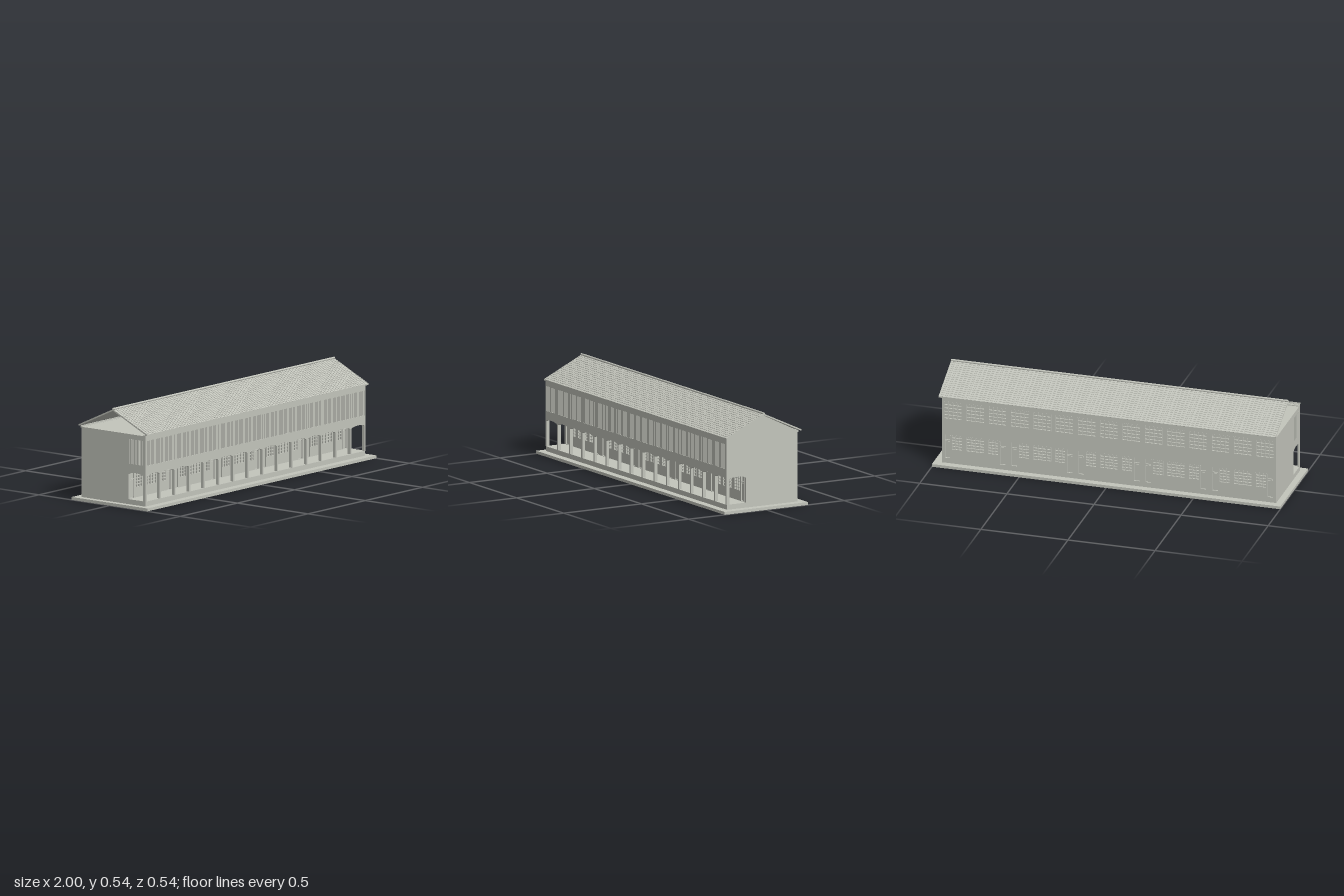
import * as THREE from 'three';
import { mergeGeometries } from 'three/addons/utils/BufferGeometryUtils.js';

const X0 = -0.965, X1 = 0.955, BAYS = 15, BAY = (X1 - X0) / BAYS, LEN = X1 - X0, CX = (X0 + X1) / 2;

export function createModel() {
  const group = new THREE.Group();
  const stone = new THREE.MeshStandardMaterial({ color: 0xc3c5bc });
  stone.name = 'warm grey';

  const add = (name, geo) => {
    const mesh = new THREE.Mesh(geo, stone);
    mesh.name = name;
    group.add(mesh);
    return mesh;
  };
  // box given by its lower and upper corners
  const box = (x0, y0, z0, x1, y1, z1) =>
    new THREE.BoxGeometry(x1 - x0, y1 - y0, z1 - z0).translate((x0 + x1) / 2, (y0 + y1) / 2, (z0 + z1) / 2);
  const polygon = pts => new THREE.Shape(pts.map(p => new THREE.Vector2(p[0], p[1])));
  const rect = (x0, y0, x1, y1) => polygon([[x0, y0], [x1, y0], [x1, y1], [x0, y1]]);
  const extrude = (shape, depth) =>
    new THREE.ExtrudeGeometry(shape, { depth, bevelEnabled: false, curveSegments: 8 });
  // shape drawn in (z, y), extruded towards -x from the given x
  const extrudeX = (shape, depth, x) => extrude(shape, depth).rotateY(-Math.PI / 2).translate(x, 0, 0);
  const arch = (a, b) => {
    const s = new THREE.Shape(), w = b - a;
    s.moveTo(a, 0.044);
    s.lineTo(b, 0.044);
    s.lineTo(b, 0.184);
    s.bezierCurveTo(b - w * 0.12, 0.199, a + w * 0.12, 0.199, a, 0.184);
    s.closePath();
    return s;
  };

  // ground slab, plinth and floors
  add('groundSlab', box(-1, 0, -0.268, 1, 0.016, 0.268));
  add('plinth', box(X0, 0.016, -0.228, X1, 0.044, 0.225));
  add('upperFloor', box(X0 + 0.005, 0.208, -0.22, X1 - 0.005, 0.22, 0.22));
  add('atticFloor', box(X0 + 0.002, 0.4, -0.225, X1 - 0.005, 0.409, 0.225));

  // front wall with arcade below and slatted openings above
  const front = rect(X0, 0.044, X1, 0.414);
  const slats = [], vaults = [];
  for (let i = 0; i < BAYS; i++) {
    const a = X0 + i * BAY + 0.0055, b = a + BAY - 0.011;
    front.holes.push(arch(a, b), rect(a, 0.243, b, 0.382));
    const n = 12, step = (b - a) / n;
    for (let k = 0; k < n; k++) {
      const x = a + (k + 0.5) * step;
      slats.push(box(x - 0.0032, 0.243, 0.213, x + 0.0032, 0.382, 0.226));
    }
    slats.push(box(a, 0.309, 0.213, b, 0.315, 0.217));
  }
  add('frontWall', extrude(front, 0.018).translate(0, 0, 0.21));
  add('frontSlats', mergeGeometries(slats));

  // cross arches between the piers of the arcade
  for (let i = 1; i < BAYS; i++) {
    const s = new THREE.Shape();
    s.moveTo(0.105, 0.184);
    s.bezierCurveTo(0.118, 0.199, 0.197, 0.199, 0.21, 0.184);
    s.lineTo(0.21, 0.209);
    s.lineTo(0.105, 0.209);
    vaults.push(extrudeX(s, 0.011, X0 + i * BAY + 0.0055));
  }
  add('crossArches', mergeGeometries(vaults));

  // long walls: barred windows, and doors paired at every third bay line
  // out is the direction the wall faces along z
  function windowWall(name, face, out, top, upper) {
    const wall = rect(X0, 0.044, X1, top);
    const bars = [], panes = [], doors = [];
    const slab = (list, x0, y0, x1, y1, d0, d1) => {
      const za = face - out * d0, zb = face - out * d1;
      list.push(box(x0, y0, Math.min(za, zb), x1, y1, Math.max(za, zb)));
    };
    const win = (x0, y0, x1, y1, cols) => {
      wall.holes.push(rect(x0, y0, x1, y1));
      slab(panes, x0, y0, x1, y1, 0.008, 0.012);
      const rows = 5;
      for (let c = 0; c <= cols; c++) {
        const x = x0 + (x1 - x0) * c / cols;
        slab(bars, x - 0.0016, y0, x + 0.0016, y1, -0.001, 0.009);
      }
      for (let r = 0; r <= rows; r++) {
        const y = y0 + (y1 - y0) * r / rows;
        slab(bars, x0, y - 0.0013, x1, y + 0.0013, -0.0008, 0.009);
      }
    };
    const door = (x0, x1) => {
      wall.holes.push(rect(x0, 0.046, x1, 0.185));
      slab(panes, x0, 0.046, x1, 0.185, 0.008, 0.012);
      slab(doors, x0 + 0.004, 0.05, x1 - 0.004, 0.145, 0.004, 0.009);
      slab(doors, x0, 0.15, x1, 0.155, 0.001, 0.009);
      slab(doors, x0, 0.046, x0 + 0.003, 0.185, -0.001, 0.009);
      slab(doors, x1 - 0.003, 0.046, x1, 0.185, -0.001, 0.009);
    };
    for (let i = 0; i < BAYS; i++) {
      const a = X0 + i * BAY, b = a + BAY;
      if (upper) win(a + 0.013, 0.283, b - 0.013, 0.384, 4);
      if (i % 3 === 1) win(a + 0.013, 0.1, b - 0.013, 0.185, 4);
      else if (i % 3 === 0) {
        door(a + 0.015, a + 0.052);
        win(a + 0.058, 0.1, b - 0.01, 0.185, 3);
      } else {
        door(b - 0.052, b - 0.015);
        win(a + 0.01, 0.1, b - 0.058, 0.185, 3);
      }
    }
    add(name, extrude(wall, 0.014).translate(0, 0, out > 0 ? face - 0.014 : face));
    add(name + 'WindowBars', mergeGeometries(bars));
    add(name + 'Panes', mergeGeometries(panes));
    add(name + 'Doors', mergeGeometries(doors));
  }
  windowWall('backWall', -0.228, -1, 0.41, true);
  windowWall('galleryWall', 0.105, 1, 0.402, false);

  // end walls: gabled on the left, open attic on the right
  const gable = polygon([[-0.228, 0.044], [0.228, 0.044], [0.228, 0.414], [-0.004, 0.524], [-0.228, 0.414]]);
  gable.holes.push(arch(0.105, 0.21));
  add('leftEndWall', extrudeX(gable, 0.01, X1));
  const end = rect(-0.228, 0.044, 0.228, 0.409);
  end.holes.push(arch(0.105, 0.21), rect(0.115, 0.243, 0.205, 0.382));
  add('rightEndWall', extrudeX(end, 0.01, X0 + 0.01));
  const endSlats = [];
  for (let k = 0; k < 9; k++) {
    const z = 0.12 + k * 0.01;
    endSlats.push(box(X0 - 0.001, 0.243, z - 0.003, X0 + 0.008, 0.382, z + 0.003));
  }
  add('rightEndSlats', mergeGeometries(endSlats));

  // roof with lapped tile courses
  const ridge = [-0.004, 0.531], eaves = [[0.238, 0.418], [-0.247, 0.418]], COURSES = 18;
  const RX0 = X0 - 0.001, RX1 = 0.968;
  const courses = e => {
    const pts = [];
    for (let i = 0; i < COURSES; i++) {
      for (const [t, lift] of [[i / COURSES, 0], [(i + 1) / COURSES, 0.0022]]) {
        pts.push([ridge[0] + (e[0] - ridge[0]) * t, ridge[1] + (e[1] - ridge[1]) * t + lift]);
      }
    }
    return pts;
  };
  const under = p => [p[0], p[1] - 0.006];
  const profile = [
    ...courses(eaves[0]), under(eaves[0]), under(ridge), under(eaves[1]),
    ...courses(eaves[1]).reverse().slice(0, -1),
  ];
  add('roof', extrudeX(polygon(profile), RX1 - RX0, RX1));

  // fine ribs running down each slope
  const ribs = [];
  for (const e of eaves) {
    const dz = e[0] - ridge[0], dy = e[1] - ridge[1];
    for (let i = 0; i <= 96; i++) {
      const x = RX0 + 0.002 + (RX1 - RX0 - 0.004) * i / 96;
      ribs.push(new THREE.BoxGeometry(0.003, 0.003, Math.hypot(dz, dy))
        .rotateX(-Math.atan(dy / dz))
        .translate(x, (ridge[1] + e[1]) / 2 + 0.0012, (ridge[0] + e[0]) / 2));
    }
  }
  add('tileRibs', mergeGeometries(ribs));
  add('ridgeCap', new THREE.CylinderGeometry(0.0065, 0.0065, RX1 - RX0, 10)
    .rotateZ(Math.PI / 2).translate((RX0 + RX1) / 2, 0.5345, ridge[0]));

  // beams under the eaves
  add('backEaveBeam', box(X0, 0.404, -0.233, X1, 0.416, -0.226));
  const gutter = new THREE.CylinderGeometry(0.004, 0.004, LEN, 8).rotateZ(Math.PI / 2);
  add('frontEavePole', gutter.translate(CX, 0.414, 0.226));

  return group;
}
